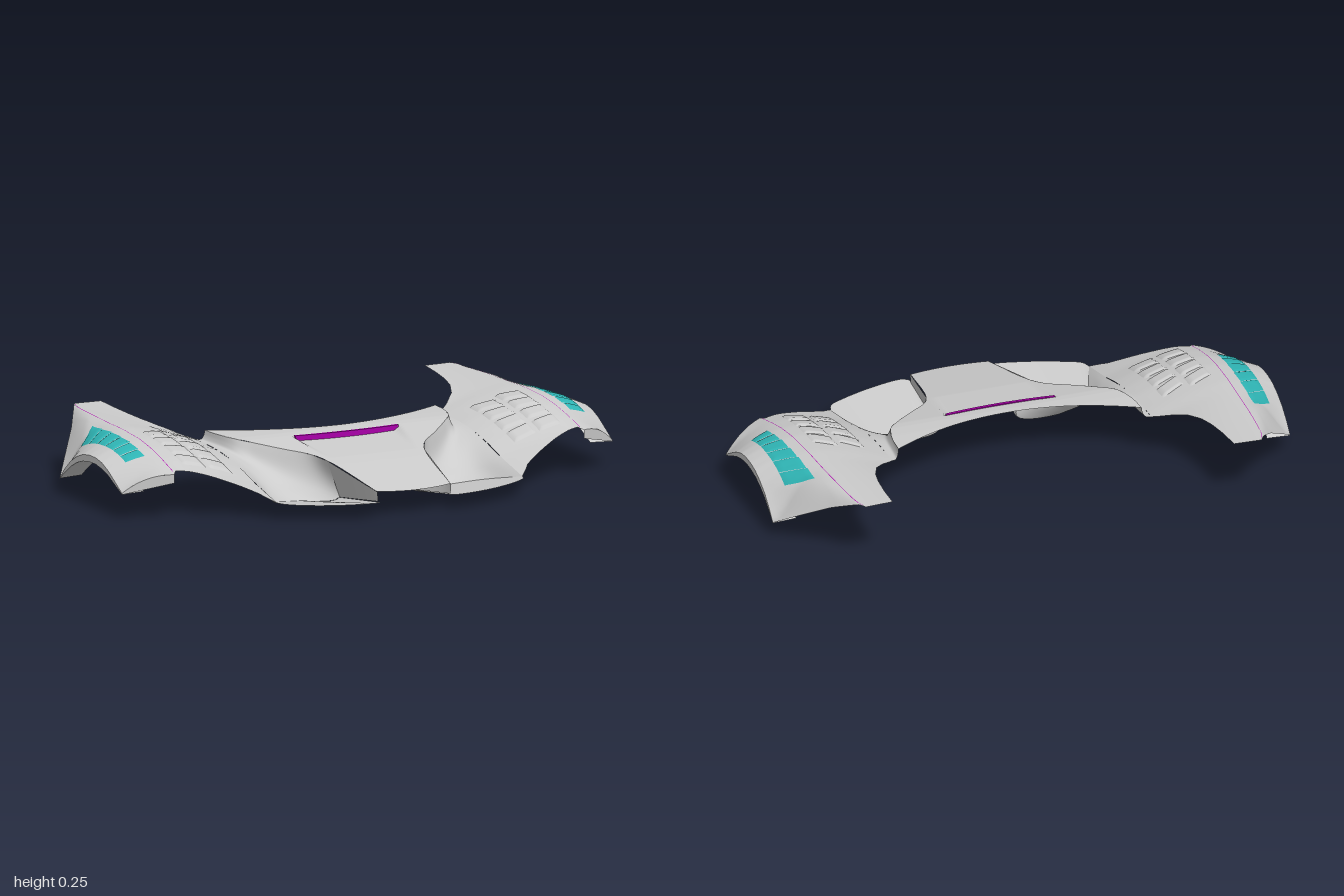
import * as THREE from 'three';

const grey = new THREE.MeshStandardMaterial({ color: 0xcccccc, side: THREE.DoubleSide });
const teal = new THREE.MeshStandardMaterial({ color: 0x2fb5b5, side: THREE.DoubleSide });
const purple = new THREE.MeshStandardMaterial({ color: 0xaa00aa, side: THREE.DoubleSide });
const { lerp, clamp } = THREE.MathUtils;

// Piecewise linear lookup through [position, value] pairs
function table(pairs, t) {
  if (t <= pairs[0][0]) return pairs[0][1];
  for (let i = 1; i < pairs.length; i++) {
    const [a, p] = pairs[i - 1], [b, q] = pairs[i];
    if (t <= b) return lerp(p, q, (t - a) / (b - a));
  }
  return pairs[pairs.length - 1][1];
}

// Smooth curve through points given as [x, y, z]
const curve = (pts) => new THREE.CatmullRomCurve3(pts.map((p) => new THREE.Vector3(...p)));

// Sheet of nu by nv cells; fn(u, v) gives [x, y, z]
function sheet(name, nu, nv, fn, material = grey) {
  const pos = [], idx = [];
  for (let j = 0; j <= nv; j++)
    for (let i = 0; i <= nu; i++) pos.push(...fn(i / nu, j / nv));
  for (let j = 0; j < nv; j++)
    for (let i = 0; i < nu; i++) {
      const a = j * (nu + 1) + i, b = a + nu + 1;
      idx.push(a, b, a + 1, a + 1, b, b + 1);
    }
  const g = new THREE.BufferGeometry();
  g.setAttribute('position', new THREE.Float32BufferAttribute(pos, 3));
  g.setIndex(idx);
  g.computeVertexNormals();
  const m = new THREE.Mesh(g, material);
  m.name = name;
  return m;
}

// Fender outline and crown
const rearEdge = [[0.5, -0.185], [0.55, -0.23], [0.6, -0.29], [0.63, -0.36], [0.645, -0.43], [0.655, -0.52],
  [0.66, -0.62], [0.765, -0.625], [0.85, -0.485], [1, -0.285]];
const frontEdge = [[0.5, 0.47], [0.53, 0.44], [0.55, 0.415], [0.6, 0.385], [0.7, 0.335], [0.82, 0.285],
  [0.835, 0.305], [1, 0.21]];
const ridge = [[-0.62, 0.24], [-0.15, 0.242], [0, 0.234], [0.1, 0.22], [0.2, 0.198], [0.3, 0.168], [0.47, 0.13]];
const shoulder = [[-0.285, 0.052], [-0.25, 0.09], [-0.2, 0.13], [-0.15, 0.157], [-0.1, 0.175], [-0.05, 0.182],
  [0, 0.182], [0.05, 0.173], [0.1, 0.153], [0.15, 0.125], [0.21, 0.09]];
const arch = [[-0.285, 0.05], [-0.25, 0.076], [-0.2, 0.11], [-0.15, 0.135], [-0.1, 0.15], [-0.05, 0.157],
  [0, 0.158], [0.05, 0.15], [0.1, 0.135], [0.15, 0.112], [0.21, 0.085]];

// Fender height: falls inwards to the hood, and rounds outwards from a straight rear edge
function fenderY(x, z) {
  const top = table(ridge, z);
  if (x < 0.78) return top - 0.075 * clamp((z + 0.62) / 0.4, 0, 1) * Math.pow((0.78 - x) / 0.28, 1.4);
  const power = lerp(1.05, 2, clamp((z - table(rearEdge, x)) / 0.13, 0, 1));
  return top - (top - table(shoulder, z)) * Math.pow((x - 0.78) / 0.22, power);
}

// Hood height along its length, and its side edge with the matching centre-line z
const hoodProfile = [[-0.06, 0.2], [0, 0.198], [0.035, 0.194], [0.3, 0.142], [0.6, 0.08]];
const hoodY = (z) => table(hoodProfile, z);
const hoodSide = [[0.47, -0.165], [0.465, -0.09], [0.44, 0], [0.39, 0.06], [0.31, 0.14], [0.235, 0.21], [0.2, 0.28], [0.15, 0.58]];
const hoodMid = [-0.03, 0, 0.04, 0.08, 0.16, 0.23, 0.3, 0.6];
const hoodRows = curve(hoodSide.map(([x, z], i) => [x, hoodMid[i], z]));

// Duct sections from the rear to the front lip: hood edge, inner foot, floor, outer foot, fender edge
const fenderPoint = (z) => [0.5, fenderY(0.5, z), z];
const ductSections = [
  [[0.47, 0.2, -0.165], [0.473, 0.18, -0.168], [0.48, 0.167, -0.172], [0.49, 0.165, -0.18], fenderPoint(-0.185)],
  [[0.44, hoodY(0), 0], [0.446, 0.17, 0.01], [0.455, 0.155, 0.015], [0.475, 0.154, 0.015], fenderPoint(0)],
  [[0.39, hoodY(0.06), 0.06], [0.395, 0.135, 0.085], [0.41, 0.115, 0.11], [0.45, 0.122, 0.12], fenderPoint(0.13)],
  [[0.31, hoodY(0.14), 0.14], [0.315, 0.085, 0.17], [0.36, 0.06, 0.19], [0.43, 0.07, 0.21], fenderPoint(0.29)],
  [[0.235, hoodY(0.21), 0.21], [0.22, 0.04, 0.235], [0.33, 0.025, 0.225], [0.425, 0.038, 0.26], fenderPoint(0.4)],
  [[0.2, hoodY(0.28), 0.28], [0.15, 0.005, 0.28], [0.3, 0.001, 0.25], [0.42, 0.018, 0.3], fenderPoint(0.47)],
];

function buildSide() {
  const side = new THREE.Group();

  // Fender skin
  const knots = [0.5, 0.55, 0.6, 0.63, 0.645, 0.655, 0.66, 0.69, 0.72, 0.765, 0.79, 0.82, 0.835, 0.87, 0.91, 0.95, 1]
    .map((x, i) => [i / 16, x]);
  side.add(sheet('fender', 48, 44, (u, v) => {
    const x = table(knots, u), z = lerp(table(rearEdge, x), table(frontEdge, x), v);
    return [x, fenderY(x, z), z];
  }));

  // Wheel arch lip and its inward return
  side.add(sheet('archLip', 1, 40, (u, v) => {
    const z = lerp(-0.285, 0.21, v);
    return [1, lerp(table(shoulder, z), table(arch, z), u), z];
  }));
  side.add(sheet('archReturn', 2, 40, (u, v) => {
    const z = lerp(-0.285, 0.21, v);
    return [1 - 0.09 * u, table(arch, z) + 0.004 * u, z];
  }));
  side.add(sheet('fenderFrontLip', 12, 1, (u, v) => {
    const x = lerp(0.835, 1, u), z = table(frontEdge, x);
    return [x, lerp(fenderY(x, z), lerp(0.13, 0.085, u), v), z];
  }));

  // Air duct between hood and fender
  const rails = [0, 1, 2, 3, 4].map((k) => curve(ductSections.map((s) => s[k])));
  side.add(sheet('airDuct', 24, 36, (u, v) => {
    const row = new THREE.CatmullRomCurve3(rails.map((r) => r.getPoint(v)));
    return row.getPoint(u).toArray();
  }));

  // Splitter plate, from the duct lip up to the nose, curling up at its outer end
  const lip = curve(ductSections[5]);
  const nose = curve([[0.145, 0.048, 0.605], [0.17, 0.05, 0.617], [0.3, 0.05, 0.592], [0.42, 0.052, 0.545],
    [0.485, 0.055, 0.505], fenderPoint(0.47)]);
  side.add(sheet('splitterPlate', 36, 8, (u, v) =>
    lip.getPoint(lerp(0.25, 1, u)).lerp(nose.getPoint(u), v).toArray()));

  // Wall from the hood edge down to the plate
  side.add(sheet('ductInnerWall', 10, 4, (u, v) => {
    const z = lerp(0.28, 0.585, u);
    return [lerp(lerp(0.2, 0.15, u), 0.148, v), lerp(hoodY(z), lerp(0.005, 0.048, u), v), z];
  }));

  // Patch that follows the fender, rising from a border flush with the skin
  const drape = (name, x0, x1, z0, z1, skew, lift, material) => sheet(name, 8, 8, (u, v) => {
    const x = lerp(x0, x1, u), z = lerp(z0, z1, v) + skew(v) * u;
    const border = u === 0 || v === 0 || u === 1 || v === 1;
    return [x, fenderY(x, z) + (border ? 0.001 : lift), z];
  }, material);

  // Raised louvres, two columns of four
  for (let c = 0; c < 2; c++)
    for (let r = 0; r < 4; r++) {
      const x = 0.575 + c * 0.105, z = -0.105 + r * 0.098 - c * 0.005;
      side.add(drape('fenderLouvre', x, x + 0.09, z, z + 0.075, () => 0.035 - r * 0.014, 0.008, grey));
    }

  // Coloured vent cells, the rear ones slanting forward on their outer side
  const cuts = [-0.32, -0.24, -0.155, -0.075, 0.005, 0.075, 0.135];
  const slant = (z) => lerp(0.08, -0.018, (z + 0.32) / 0.455);
  for (let i = 0; i < 6; i++) {
    const a = cuts[i] + 0.002, b = cuts[i + 1] - 0.002;
    side.add(drape('ventCell', lerp(0.85, 0.868, i / 5), 0.937, a, b, (v) => slant(lerp(a, b, v)), 0.004, teal));
  }

  // Seam along the fender crown
  side.add(sheet('fenderSeam', 1, 40, (u, v) => {
    const z = lerp(-0.61, 0.285, v), x = 0.77 + 0.06 * Math.sqrt(v) + 0.002 * (u - 0.5);
    return [x, fenderY(x, z) + 0.0008, z];
  }, purple));
  return side;
}

export function createModel() {
  const model = new THREE.Group();

  // Hood skin, each row bowed back towards its ends, with the centre panel stepped down behind the slot
  model.add(sheet('hood', 100, 90, (u, v) => {
    const s = u * 2 - 1, p = hoodRows.getPoint(v);
    const x = s * p.x, z = lerp(p.y, p.z, s * s);
    const inside = clamp((lerp(0.22, 0.15, (z - 0.04) / 0.54) - Math.abs(x)) / 0.025, 0, 1);
    const behind = clamp((z - 0.045 + 0.27 * x * x) / 0.012, 0, 1);
    return [x, hoodY(z) - 0.016 * inside * behind * clamp((0.26 - z) / 0.2, 0, 1), z];
  }));

  // Slot strip at the rear of the panel
  const strip = new THREE.BoxGeometry(0.42, 0.022, 0.012, 20, 1, 1);
  const p = strip.attributes.position;
  for (let i = 0; i < p.count; i++) {
    const s = p.getX(i) / 0.21;
    p.setZ(i, p.getZ(i) + 0.054 - 0.012 * s * s);
    p.setY(i, p.getY(i) + 0.183);
  }
  strip.computeVertexNormals();
  const slot = new THREE.Mesh(strip, purple);
  slot.name = 'slotStrip';
  model.add(slot);

  // Both sides
  const left = buildSide(), right = buildSide();
  left.name = 'leftSide';
  right.name = 'rightSide';
  right.scale.x = -1;
  model.add(left, right);
  return model;
}
